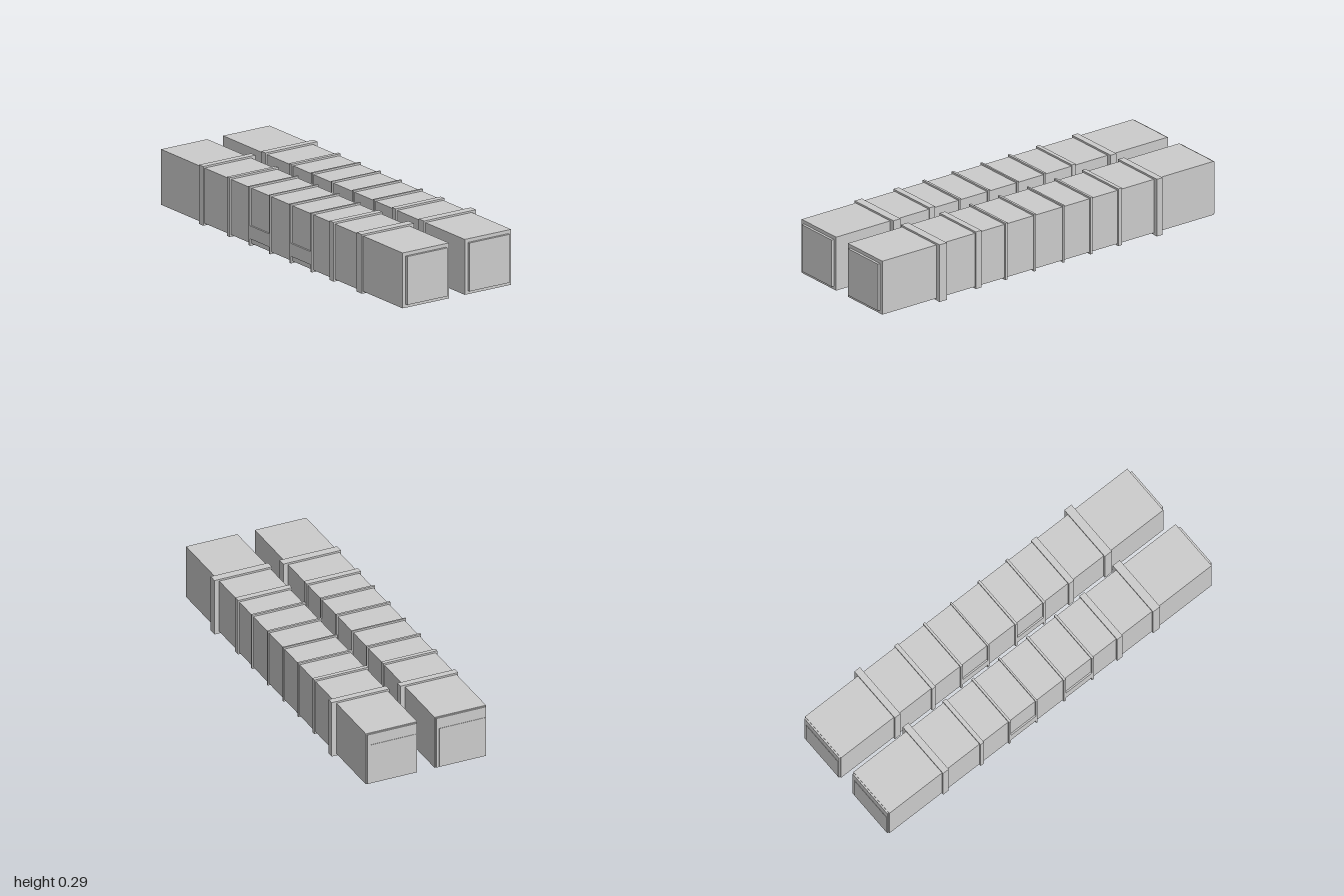
import * as THREE from 'three';

const material = new THREE.MeshStandardMaterial({ color: 0xcccccc, flatShading: true });

// Box given by its minimum and maximum corners
function block(name, [x0, y0, z0], [x1, y1, z1]) {
  const mesh = new THREE.Mesh(new THREE.BoxGeometry(x1 - x0, y1 - y0, z1 - z0), material);
  mesh.position.set((x0 + x1) / 2, (y0 + y1) / 2, (z0 + z1) / 2);
  mesh.name = name;
  return mesh;
}

// One long duct, z measured from its own centre line
function createDuct(name) {
  const duct = new THREE.Group();
  duct.name = name;
  const back = -0.135, front = 0.135;

  duct.add(block('body', [-0.99, 0.01, back], [0.985, 0.286, front]));

  // End plates, and a low hatch on the right end
  duct.add(block('leftEndPlate', [0.98, 0.027, -0.117], [0.998, 0.268, 0.117]));
  duct.add(block('rightEndPlate', [-0.998, 0.014, -0.13], [-0.98, 0.282, 0.13]));
  duct.add(block('rightEndHatch', [-1, 0.02, -0.115], [-0.985, 0.225, 0.125]));

  // Bands around the body: [start x, end x, overhang at the back]
  const bands = [
    [-0.667, -0.633, 0.025], [-0.438, -0.417, 0.006], [-0.262, -0.25, 0.006],
    [-0.097, -0.088, 0.006], [0.073, 0.085, 0.006], [0.245, 0.257, 0.006],
    [0.4, 0.432, 0.006], [0.62, 0.663, 0.025],
  ];
  for (const [x0, x1, overhang] of bands) {
    duct.add(block('band', [x0, 0, back - overhang], [x1, 0.295, front + 0.008]));
  }

  // Low cover plates on the front, between the middle bands
  for (const [x0, x1] of [[-0.252, -0.095], [0.083, 0.247]]) {
    duct.add(block('frontCoverPlate', [x0, 0.035, front - 0.01], [x1, 0.1, front + 0.008]));
  }
  return duct;
}

export function createModel() {
  const model = new THREE.Group();
  model.name = 'twinDucts';
  const frontDuct = createDuct('frontDuct');
  frontDuct.position.z = 0.19;
  const backDuct = createDuct('backDuct');
  backDuct.position.z = -0.172;
  model.add(frontDuct, backDuct);
  return model;
}
